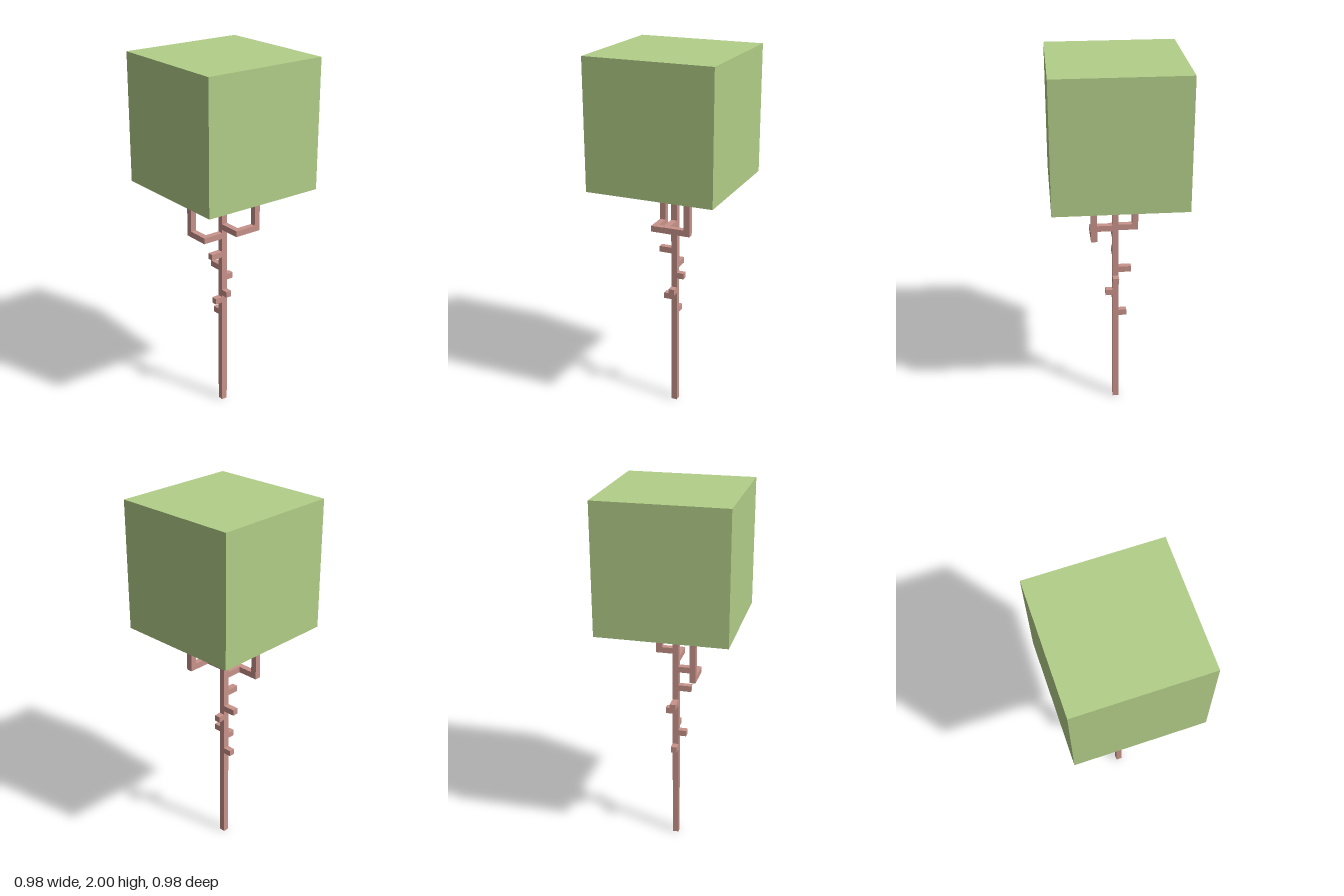
import * as THREE from 'three';

export function createModel() {
  const tree = new THREE.Group();
  tree.name = 'blockTree';
  const bark = new THREE.MeshStandardMaterial({ color: 0xc8938a, flatShading: true });
  const leaf = new THREE.MeshStandardMaterial({ color: 0xb2ce88, flatShading: true });

  const W = 0.033;            // thickness of every wooden bar
  const H = W / 2;
  const CROWN = 0.69;         // crown cube edge
  const BASE = 2 - CROWN;     // underside of the crown

  // Box between two corners
  function bar(name, min, max, material = bark) {
    const size = max.map((v, i) => v - min[i]);
    const mesh = new THREE.Mesh(new THREE.BoxGeometry(...size), material);
    mesh.position.set(...max.map((v, i) => (v + min[i]) / 2));
    mesh.name = name;
    return mesh;
  }

  // Horizontal bar from (x, z) along an axis direction, starting on the surface of a post
  function arm(name, x, z, y, [dx, dz], length) {
    const mesh = new THREE.Mesh(
      new THREE.BoxGeometry(dx ? length - H : W, W, dz ? length - H : W), bark);
    const mid = (length + H) / 2;
    mesh.position.set(x + dx * mid, y + H, z + dz * mid);
    mesh.name = name;
    return mesh;
  }

  // Trunk and crown
  tree.add(bar('trunk', [-H, 0, -H], [H, BASE, H]));
  tree.add(bar('crown', [-CROWN / 2, BASE, -CROWN / 2], [CROWN / 2, 2, CROWN / 2], leaf));

  // Two main branches: out, round a corner, then up into the crown
  function branch(name, y, reach, first, second) {
    const group = new THREE.Group();
    group.name = name;
    const ex = first[0] * reach, ez = first[1] * reach;
    const px = ex + second[0] * reach, pz = ez + second[1] * reach;
    group.add(arm('innerArm', 0, 0, y, first, reach + H));
    group.add(arm('outerArm', ex, ez, y, second, reach + H));
    group.add(bar('upright', [px - H, y + W, pz - H], [px + H, BASE, pz + H]));
    tree.add(group);
  }
  branch('leftBranch', 1.063, 0.123, [0, 1], [1, 0]);
  branch('rightBranch', 1.011, 0.119, [-1, 0], [0, -1]);

  // Short stubs winding down the trunk: height, direction, length
  [
    [0.902, [-1, 0], 0.085],
    [0.815, [0, -1], 0.085],
    [0.76, [1, 0], 0.055],
    [0.673, [0, 1], 0.055],
    [0.629, [-1, 0], 0.06],
    [0.543, [0, -1], 0.06],
  ].forEach(([y, dir, length], i) => tree.add(arm(`stub${i + 1}`, 0, 0, y, dir, length)));

  // The whole tree stands corner-on
  tree.rotation.y = THREE.MathUtils.degToRad(46);
  const model = new THREE.Group();
  model.name = 'tree';
  model.add(tree);
  return model;
}
